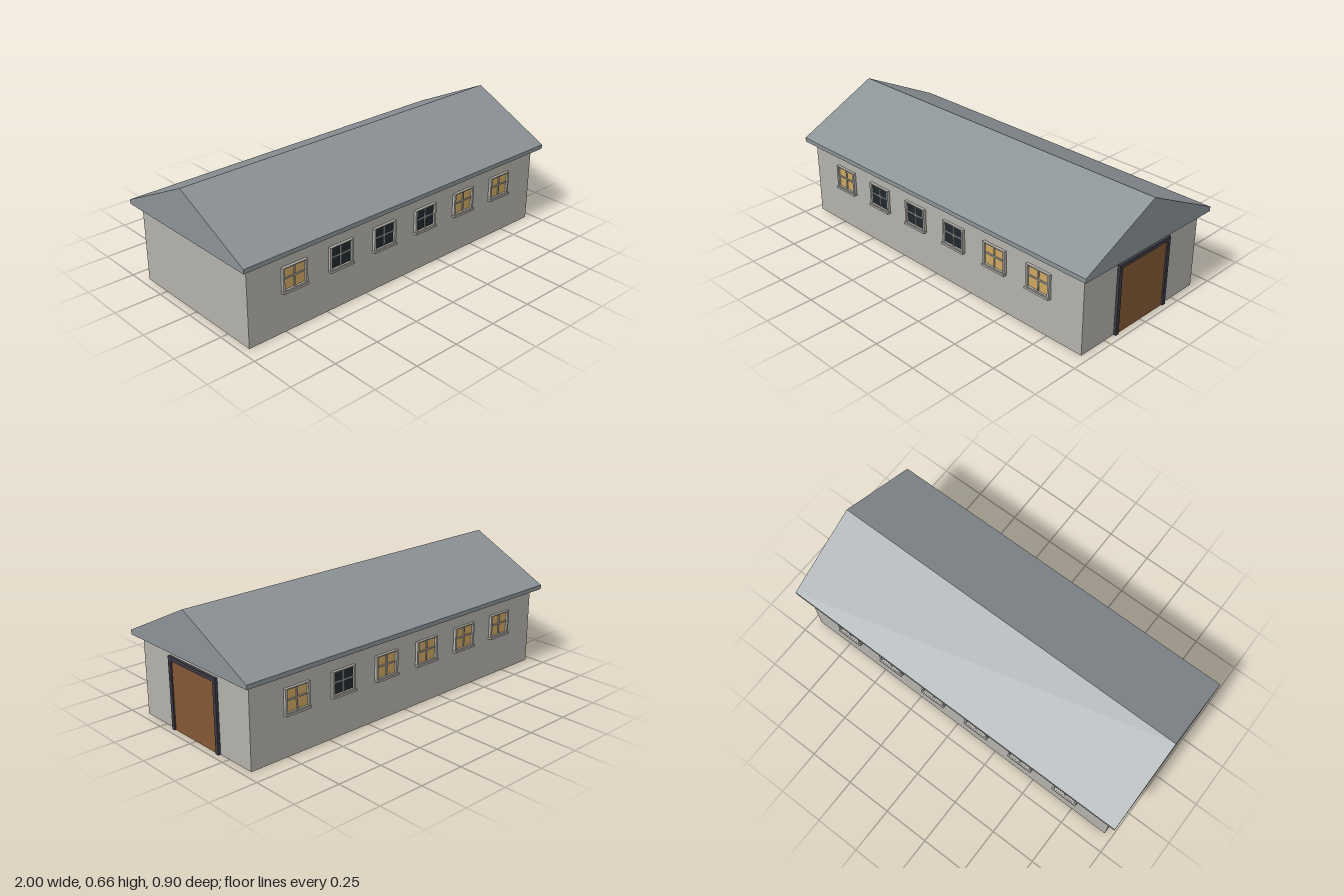
import * as THREE from 'three';

const mat = (name, color) => {
  const m = new THREE.MeshStandardMaterial({ color });
  m.name = name;
  return m;
};

export function createModel() {
  const wall = mat('wall plaster', 0xb3b1aa);
  const roofGrey = mat('roof slate', 0x8b9296);
  const trim = mat('window trim', 0xb0aea8);
  const litGlass = mat('lit glass', 0xcda763);
  const darkGlass = mat('dark glass', 0x1f282e);
  const doorWood = mat('door wood', 0x835734);
  const doorTrim = mat('door frame', 0x3b3a43);

  const model = new THREE.Group();
  model.name = 'longHouse';

  const box = (parent, name, material, size, pos) => {
    const mesh = new THREE.Mesh(new THREE.BoxGeometry(...size), material);
    mesh.name = name;
    mesh.position.set(...pos);
    parent.add(mesh);
    return mesh;
  };

  // Main body
  box(model, 'walls', wall, [1.92, 0.416, 0.82], [0, 0.208, 0]);

  // Solid gable roof with a short vertical eave, running along x
  const gable = new THREE.Shape([
    [-0.452, 0.416], [0.452, 0.416], [0.452, 0.439], [0, 0.658], [-0.452, 0.439],
  ].map(([z, y]) => new THREE.Vector2(z, y)));
  const roofGeo = new THREE.ExtrudeGeometry(gable, { depth: 2, bevelEnabled: false });
  roofGeo.translate(0, 0, -1).rotateY(Math.PI / 2);
  const roof = new THREE.Mesh(roofGeo, roofGrey);
  roof.name = 'roof';
  model.add(roof);

  // Window: hollow surround, glass, glazing bars and a projecting sill
  const W = 0.144, H = 0.122, T = 0.011;
  const surround = new THREE.Shape([
    new THREE.Vector2(-W / 2, -H / 2), new THREE.Vector2(W / 2, -H / 2),
    new THREE.Vector2(W / 2, H / 2), new THREE.Vector2(-W / 2, H / 2),
  ]);
  const a = W / 2 - T, b = H / 2 - T / 2;
  surround.holes.push(new THREE.Path([
    new THREE.Vector2(-a, -b), new THREE.Vector2(-a, b),
    new THREE.Vector2(a, b), new THREE.Vector2(a, -b),
  ]));
  const surroundGeo = new THREE.ExtrudeGeometry(surround, { depth: 0.015, bevelEnabled: false });

  const makeWindow = (lit) => {
    const g = new THREE.Group();
    g.name = 'window';
    const frame = new THREE.Mesh(surroundGeo, trim);
    frame.name = 'windowFrame';
    g.add(frame);
    box(g, 'glass', lit ? litGlass : darkGlass, [2 * a, 2 * b, 0.004], [0, 0, 0.002]);
    box(g, 'verticalBar', trim, [0.007, 2 * b, 0.005], [0, 0, 0.0065]);
    box(g, 'horizontalBar', trim, [2 * a, 0.007, 0.005], [0, 0.003, 0.0065]);
    box(g, 'sill', trim, [W + 0.004, 0.011, 0.022], [0, -H / 2 - 0.003, 0.011]);
    return g;
  };

  // Six windows on each long side, listed from -x to +x
  const rows = [
    { side: 1, lit: [1, 0, 0, 0, 1, 1] },
    { side: -1, lit: [1, 1, 1, 1, 0, 1] },
  ];
  for (const { side, lit } of rows) {
    lit.forEach((on, i) => {
      const win = makeWindow(on);
      win.position.set((i - 2.5) * 0.279, 0.28, side * 0.41);
      if (side < 0) win.rotation.y = Math.PI;
      model.add(win);
    });
  }

  // Large end door with posts and lintel
  const door = new THREE.Group();
  door.name = 'endDoor';
  box(door, 'doorPanel', doorWood, [0.008, 0.357, 0.332], [0.962, 0.1785, 0]);
  box(door, 'lintel', doorTrim, [0.018, 0.02, 0.37], [0.965, 0.367, 0]);
  for (const s of [-1, 1]) {
    box(door, 'doorPost', doorTrim, [0.018, 0.357, 0.02], [0.965, 0.1785, s * 0.175]);
    box(door, 'cornerBlock', doorTrim, [0.012, 0.007, 0.007], [0.964, 0.3535, s * 0.1615]);
  }
  model.add(door);

  return model;
}
